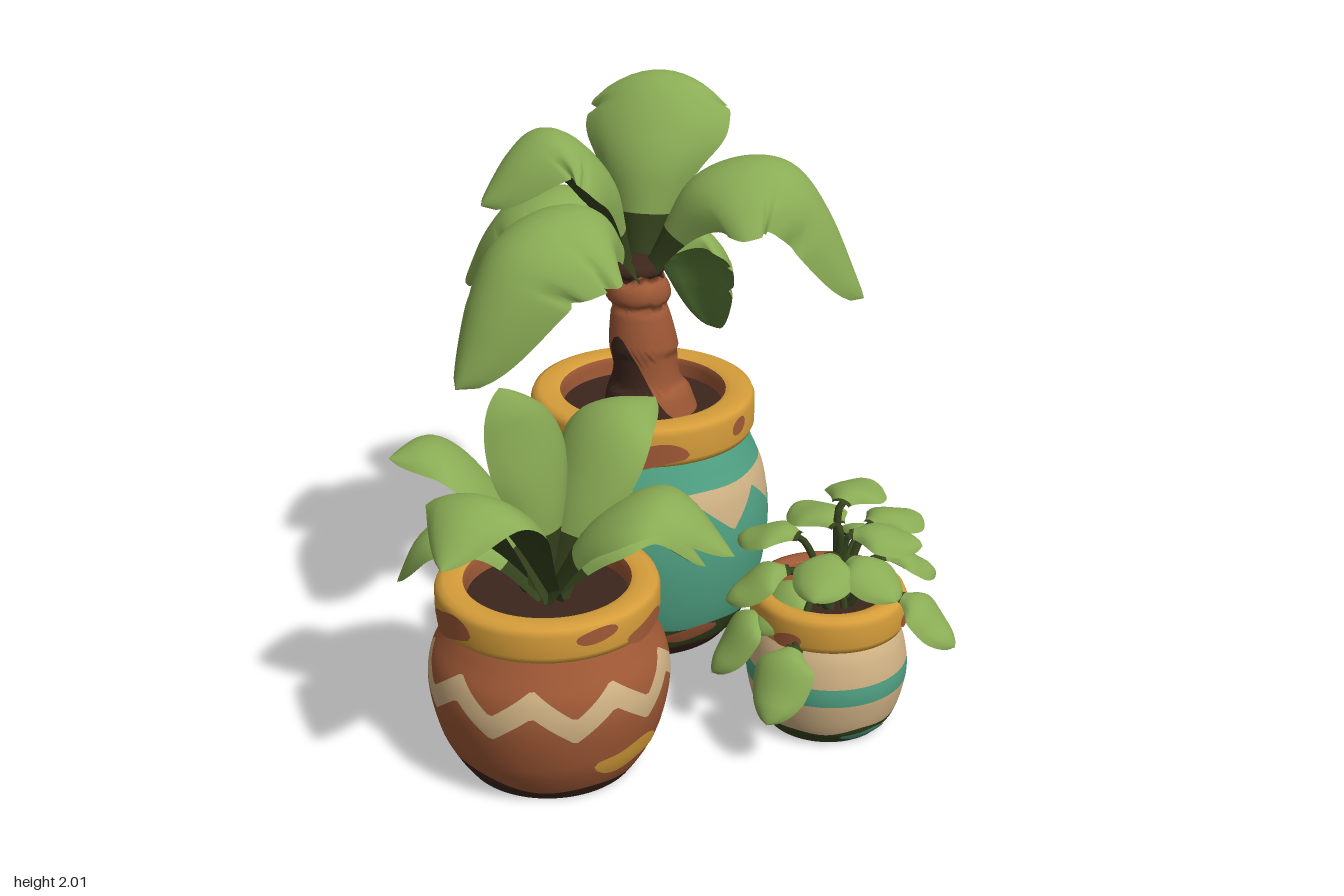
import * as THREE from 'three';

const mat = (name, color) => Object.assign(new THREE.MeshStandardMaterial({ color }), { name });
const M = {
  leaf: mat('leaf green', 0x8aac55), under: mat('deep leaf green', 0x5d7f3a),
  moss: mat('dark moss', 0x35431d), teal: mat('teal glaze', 0x4fa082),
  clay: mat('terracotta', 0xa05936), gold: mat('ochre glaze', 0xd69d3a),
  cream: mat('cream glaze', 0xd0b284), soil: mat('dark soil', 0x3d261c),
};
const V = (x, y, z) => new THREE.Vector3(x, y, z);
const TAU = Math.PI * 2;

function add(parent, name, geo, material) {
  const m = new THREE.Mesh(geo, material);
  m.name = name;
  parent.add(m);
  return m;
}

// Indexed grid of (nu+1) x (nv+1) points; faces point along du x dv
function grid(nu, nv, fn, flip = false) {
  const pos = [], idx = [];
  for (let i = 0; i <= nv; i++)
    for (let j = 0; j <= nu; j++) pos.push(...fn(j / nu, i / nv).toArray());
  for (let i = 0; i < nv; i++)
    for (let j = 0; j < nu; j++) {
      const a = i * (nu + 1) + j, b = a + 1, d = a + nu + 1, c = d + 1;
      idx.push(...(flip ? [a, c, b, a, d, c] : [a, b, c, a, c, d]));
    }
  const g = new THREE.BufferGeometry();
  g.setAttribute('position', new THREE.Float32BufferAttribute(pos, 3));
  g.setIndex(idx);
  g.computeVertexNormals();
  return g;
}

// Smooth radius as a function of height, from [y, r] points
function radiusOf(points) {
  return (y) => {
    let i = 0;
    while (i < points.length - 2 && y > points[i + 1][0]) i++;
    const p = (k) => points[Math.min(Math.max(k, 0), points.length - 1)];
    const [a, b] = [p(i), p(i + 1)], t = Math.min(Math.max((y - a[0]) / (b[0] - a[0]), 0), 1);
    const slope = (q, r) => (r[1] - q[1]) / (r[0] - q[0] || 1);
    const h = b[0] - a[0], m0 = slope(p(i - 1), b) * h, m1 = slope(a, p(i + 2)) * h;
    const t2 = t * t, t3 = t2 * t;
    return (2 * t3 - 3 * t2 + 1) * a[1] + (t3 - 2 * t2 + t) * m0 + (3 * t2 - 2 * t3) * b[1] + (t3 - t2) * m1;
  };
}

// Painted area of a round wall between two height functions, with exact slope normals
function band(R, lo, hi, { from = 0, len = TAU, lift = 0, segs = 144, rows = 8 } = {}) {
  const g = grid(segs, rows, (u, v) => {
    const a = from + u * len, y = lo(a) + (hi(a) - lo(a)) * v, r = R(y) + lift;
    return V(Math.sin(a) * r, y, Math.cos(a) * r);
  });
  const p = g.attributes.position, n = g.attributes.normal;
  for (let i = 0; i < p.count; i++) {
    const x = p.getX(i), y = p.getY(i), z = p.getZ(i), l = Math.hypot(x, z);
    const k = V(x / l, -(R(y + 0.005) - R(y - 0.005)) / 0.01, z / l).normalize();
    n.setXYZ(i, k.x, k.y, k.z);
  }
  return g;
}
const flat = (y) => () => y;
const zig = (y, amp, n, ph = 0) => (a) => y + amp * Math.abs(2 * ((((a / TAU) * n + ph) % 1 + 1) % 1) - 1);
const wave = (y, amp, ph = 0) => (a) => y + amp * (Math.sin(a * 3 + ph) * 0.6 + Math.sin(a * 7 + ph * 2) * 0.4);

// Irregular oval smear on a round wall
function smear(parent, name, R, angle, half, y, h, material) {
  const e = (a) => Math.sqrt(Math.max(0, 1 - ((a - angle) / half) ** 2)) * h;
  const w = (a) => y + Math.sin((a - angle) * 9) * h * 0.25;
  add(parent, name, band(R, (a) => w(a) - e(a), (a) => w(a) + e(a), { from: angle - half, len: half * 2, lift: 0.004, segs: 24 }), material);
}

// Pot: stacked colour bands, thick rolled rim, soil and base
function pot(name, x, z, profile, bands, rim) {
  const g = new THREE.Group();
  g.name = name;
  g.position.set(x, 0, z);
  const R = radiusOf(profile);
  let lo = flat(profile[0][0]);
  for (const [label, hi, m] of bands) {
    add(g, label, band(R, lo, hi), m);
    lo = hi;
  }
  add(g, 'base', new THREE.CircleGeometry(profile[0][1], 48).rotateX(Math.PI / 2), M.soil).position.y = profile[0][0];
  const { y0, y1, ro, ri } = rim, c = 0.03;
  const pts = [[ri, y0], [ro - c, y0], [ro - c * 0.3, y0 + c * 0.3], [ro, y0 + c], [ro, y1 - c], [ro - c * 0.3, y1 - c * 0.3], [ro - c, y1], [ri + c, y1], [ri + c * 0.3, y1 - c * 0.3], [ri, y1 - c], [ri, y0]]
    .map(([a, b]) => new THREE.Vector2(a, b));
  const [bare, len] = rim.bare ?? [0, 0];
  add(g, 'rim', new THREE.LatheGeometry(pts.slice(0, 9), 64, bare + len, TAU - len), M.gold);
  if (len) add(g, 'bareRim', new THREE.LatheGeometry(pts.slice(0, 9), 32, bare, len), M.clay);
  add(g, 'innerWall', new THREE.LatheGeometry(pts.slice(8), 64), M.clay);
  for (const [a, half, y, h] of rim.chips) smear(g, 'rimChip', flat(ro), a, half, y, h, M.clay);
  add(g, 'soil', new THREE.CircleGeometry(ri + 0.01, 40).rotateX(-Math.PI / 2), M.soil).position.y = y1 - 0.07;
  return { g, R };
}

// Thick arched leaf swept along a path; wide = where it is broadest, base = width at the foot,
// taper = tip sharpness, dark = mossy share of the upper face and underside, from the foot
function leaf(parent, name, points, W, { droop, thick, base, wide, taper, dark, notch = 0, side }) {
  const curve = new THREE.CatmullRomCurve3(points.map((p) => V(...p)));
  const d = curve.getPoint(1).sub(curve.getPoint(0)).setY(0).normalize();
  const S = side ? V(...side).normalize() : d.cross(V(0, 1, 0)).normalize();
  const sheet = (sign, t0, t1) => (u0, v) => {
    const t = t0 + (t1 - t0) * v;
    const u = u0 * 2 - 1, s = Math.min(t / wide, 1), q = Math.max(0, (t - wide) / (1 - wide));
    const f = (base + (1 - base) * s * s * (3 - 2 * s)) * Math.max(0, 1 - q ** 2) ** taper;
    const cut = u > 0 ? [0.62, 0.8] : [0.52, 0.72];
    const edge = 1 - notch * cut.reduce((n, k) => n + Math.exp(-(((t - k) / 0.016) ** 2)), 0) * Math.abs(u) ** 3;
    const w = W * f, N = S.clone().cross(curve.getTangent(t)).normalize();
    const h = sign * thick * 0.5 * Math.sqrt(1 - u * u) * Math.min(1, f * 1.5) - droop * w * u * u;
    return curve.getPoint(t).addScaledVector(S, u * w * edge).addScaledVector(N, h);
  };
  const g = new THREE.Group();
  g.name = name;
  parent.add(g);
  const n = notch ? 40 : 20, [up, low] = dark;
  add(g, 'upperFoot', grid(12, 6, sheet(1, 0, up)), M.moss);
  add(g, 'upperFace', grid(12, n, sheet(1, up, 1)), M.leaf);
  add(g, 'undersideFoot', grid(12, n / 2, sheet(-1, 0, low), true), M.moss);
  add(g, 'underside', grid(12, n, sheet(-1, low, 1), true), M.under);
}

export function createModel() {
  const model = new THREE.Group();
  model.name = 'pottedPlants';

  // Large teal pot
  const big = pot('largePot', 0.02, -0.39,
    [[0.05, 0.31], [0.1, 0.35], [0.2, 0.4], [0.35, 0.435], [0.5, 0.445], [0.65, 0.425], [0.75, 0.385], [0.83, 0.35]],
    [['foot', wave(0.09, 0.02), M.soil], ['mossBand', wave(0.19, 0.025, 2), M.moss], ['body', zig(0.55, 0.115, 10, 0.54), M.teal],
      ['zigzagBand', wave(0.705, 0.008), M.cream], ['shoulder', flat(0.83), M.teal]],
    { y0: 0.81, y1: 0.96, ro: 0.39, ri: 0.28, chips: [[-0.15, 0.38, 0.86, 0.04], [0.8, 0.1, 0.9, 0.03], [3.9, 0.45, 0.845, 0.02], [4.9, 0.2, 0.87, 0.03], [2.8, 0.25, 0.845, 0.02]] });
  smear(big.g, 'baseSmear', big.R, 0.25, 0.28, 0.165, 0.03, M.clay);

  // Terracotta pot with a zigzag stripe
  const mid = pot('terracottaPot', -0.43, 0.37,
    [[0, 0.28], [0.06, 0.32], [0.15, 0.362], [0.3, 0.392], [0.4, 0.382], [0.48, 0.345], [0.55, 0.31]],
    [['foot', (a) => 0.085 + 0.05 * Math.cos(a - 3.6) + 0.012 * Math.sin(a * 5), M.soil], ['body', zig(0.265, 0.1, 9, 0.4), M.clay],
      ['zigzagStripe', zig(0.35, 0.1, 9, 0.4), M.cream], ['shoulder', flat(0.55), M.clay]],
    { y0: 0.53, y1: 0.66, ro: 0.36, ri: 0.26, chips: [[-1.15, 0.3, 0.59, 0.045], [0.3, 0.2, 0.62, 0.025], [0.9, 0.3, 0.57, 0.03], [2.3, 0.35, 0.585, 0.04], [3.9, 0.7, 0.57, 0.035]] });
  smear(mid.g, 'ochreSmear', mid.R, 0.62, 0.38, 0.15, 0.045, M.gold);

  // Small striped pot
  const small = pot('smallPot', 0.52, 0.3,
    [[0, 0.2], [0.05, 0.237], [0.15, 0.265], [0.22, 0.27], [0.32, 0.25], [0.38, 0.22]],
    [['foot', wave(0.06, 0.012), M.moss], ['lowerBand', flat(0.175), M.cream], ['tealStripe', flat(0.24), M.teal], ['upperBand', flat(0.38), M.cream]],
    { y0: 0.36, y1: 0.49, ro: 0.26, ri: 0.18, bare: [1.9, 2.3], chips: [[1.1, 0.25, 0.42, 0.03], [-0.8, 0.2, 0.4, 0.025]] });
  smear(small.g, 'tealSmear', small.R, 0.35, 0.4, 0.035, 0.018, M.teal);
  smear(small.g, 'tealSmear', small.R, 2, 0.35, 0.035, 0.018, M.teal);
  smear(small.g, 'creamSmear', flat(0.26), 1.55, 0.18, 0.455, 0.025, M.cream);
  model.add(big.g, mid.g, small.g);

  // Ridged palm trunk, leaning slightly, with dark stains at foot and crown
  const palm = new THREE.Group();
  palm.name = 'palm';
  model.add(palm);
  const trunkR = radiusOf([[0.86, 0.17], [0.92, 0.155], [0.97, 0.14], [0.99, 0.118], [1.1, 0.112], [1.12, 0.12], [1.25, 0.1],
    [1.28, 0.088], [1.3, 0.11], [1.35, 0.108], [1.38, 0.085], [1.4, 0.098], [1.43, 0.08], [1.45, 0.01]]);
  const stain = (a) => 0.88 + 0.3 * Math.max(0, Math.cos(a + 1)) ** 2, crown = wave(1.385, 0.02, 1);
  for (const [label, lo, hi, m] of [['trunkStain', flat(0.86), stain, M.soil], ['trunk', stain, crown, M.clay], ['trunkCrown', crown, flat(1.45), M.soil]]) {
    const g = band(trunkR, lo, hi, { segs: 32, rows: 24 }), p = g.attributes.position;
    for (let i = 0; i < p.count; i++) p.setX(i, p.getX(i) + 0.035 - (p.getY(i) - 0.97) * 0.1);
    add(palm, label, g, m).position.z = -0.37;
  }

  // Palm fronds: path, half width, arch
  const fronds = [
    [[-0.03, 1.4, -0.4], [-0.2, 1.62, -0.49], [-0.38, 1.58, -0.57], [-0.56, 1.28, -0.66], 0.24, 0.45],
    [[-0.02, 1.4, -0.37], [-0.14, 1.76, -0.33], [-0.31, 1.9, -0.28], [-0.54, 1.7, -0.22], 0.23, 0.45],
    [[-0.02, 1.4, -0.34], [-0.22, 1.67, -0.18], [-0.46, 1.6, -0.05], [-0.67, 1.18, 0.05], 0.28, 0.6],
    [[0, 1.4, -0.39], [0.05, 1.8, -0.47], [0.13, 1.98, -0.63], [0.22, 1.85, -0.85], 0.25, 0.35],
    [[0.02, 1.4, -0.36], [0.22, 1.72, -0.31], [0.48, 1.75, -0.26], [0.75, 1.3, -0.2], 0.28, 0.6],
    [[0.02, 1.4, -0.39], [0.14, 1.51, -0.49], [0.27, 1.38, -0.6], [0.34, 1.04, -0.67], 0.2, 0.4],
  ];
  for (const f of fronds) leaf(palm, 'frond', f.slice(0, 4), f[4], { droop: f[5], notch: 0.13, thick: 0.05, base: 0.22, wide: 0.46, taper: 0.6, dark: [0.14, 0.5] });

  // Broad pointed leaves of the middle plant
  const bush = new THREE.Group();
  bush.name = 'broadLeafPlant';
  model.add(bush);
  const broad = { droop: 0.25, thick: 0.045, base: 0.4, wide: 0.5, taper: 0.85, dark: [0.2, 0.6] };
  leaf(bush, 'centreLeaf', [[-0.43, 0.6, 0.37], [-0.43, 0.95, 0.38], [-0.48, 1.17, 0.39], [-0.57, 1.34, 0.43]], 0.175, { ...broad, side: [1, 0, -0.9] });
  const blades = [
    [[-0.6, 0.97, 0.36], [-0.75, 1.12, 0.36], [-0.91, 1.12, 0.4], 0.19],
    [[-0.56, 0.92, 0.5], [-0.68, 1.07, 0.66], [-0.8, 0.95, 0.84], 0.19],
    [[-0.63, 0.8, 0.33], [-0.77, 0.8, 0.29], [-0.9, 0.62, 0.26], 0.14],
    [[-0.32, 0.92, 0.31], [-0.2, 1.12, 0.22], [-0.03, 1.13, 0.11], 0.19],
    [[-0.26, 0.86, 0.44], [-0.08, 0.95, 0.5], [0.13, 0.78, 0.59], 0.19],
    [[-0.25, 0.77, 0.4], [-0.1, 0.82, 0.38], [0.08, 0.65, 0.4], 0.12],
    [[-0.36, 0.8, 0.24], [-0.24, 0.88, 0.15], [-0.08, 0.74, 0.07], 0.13],
  ];
  for (const b of blades) leaf(bush, 'blade', [[-0.43, 0.58, 0.37], ...b.slice(0, 3)], b[3], broad);

  // Small plant: round leaves on thin stems, lower leaves hang steeper
  const sprig = new THREE.Group();
  sprig.name = 'roundLeafPlant';
  model.add(sprig);
  const round = { droop: 0.25, thick: 0.035, base: 0.3, wide: 0.42, taper: 0.65, dark: [0.06, 0.6] };
  const spots = [[0.72, 0.52, 0.05], [0.35, 0.61, 0.15], [0.5, 0.7, 0.2], [0.63, 0.77, 0.2], [0.77, 0.65, 0.19], [0.8, 0.52, 0.26],
    [0.2, 0.33, 0.35], [0.34, 0.45, 0.36], [0.28, 0.5, 0.28], [0.46, 0.59, 0.44], [0.62, 0.58, 0.46], [0.8, 0.43, 0.5], [0.29, 0.29, 0.58], [0.69, 0.67, 0.36]];
  for (const [x, y, z] of spots) {
    const d = V(x - 0.54, 0, z - 0.3).normalize(), drop = Math.min(0.1, Math.max(0.01, (0.72 - y) * 0.25));
    const at = (k, dy) => [x + d.x * k, y + dy, z + d.z * k];
    const reach = 0.125 - drop * 0.35, start = at(-reach, drop);
    leaf(sprig, 'roundLeaf', [start, at(-reach * 0.3, drop * 0.6 + 0.015), at(reach * 0.4, -drop * 0.3 + 0.008), at(reach, -drop)], 0.105, round);
    const stem = new THREE.CatmullRomCurve3([V(0.54 + d.x * 0.05, 0.42, 0.3 + d.z * 0.05),
      V((start[0] + 0.54) / 2, Math.max(0.52, y * 0.5 + 0.22), (start[2] + 0.3) / 2), V(start[0], start[1] - 0.01, start[2]), V(...at(-reach * 0.5, drop * 0.7 - 0.01))]);
    add(sprig, 'stem', new THREE.TubeGeometry(stem, 12, 0.013, 6), M.moss);
  }
  return model;
}
